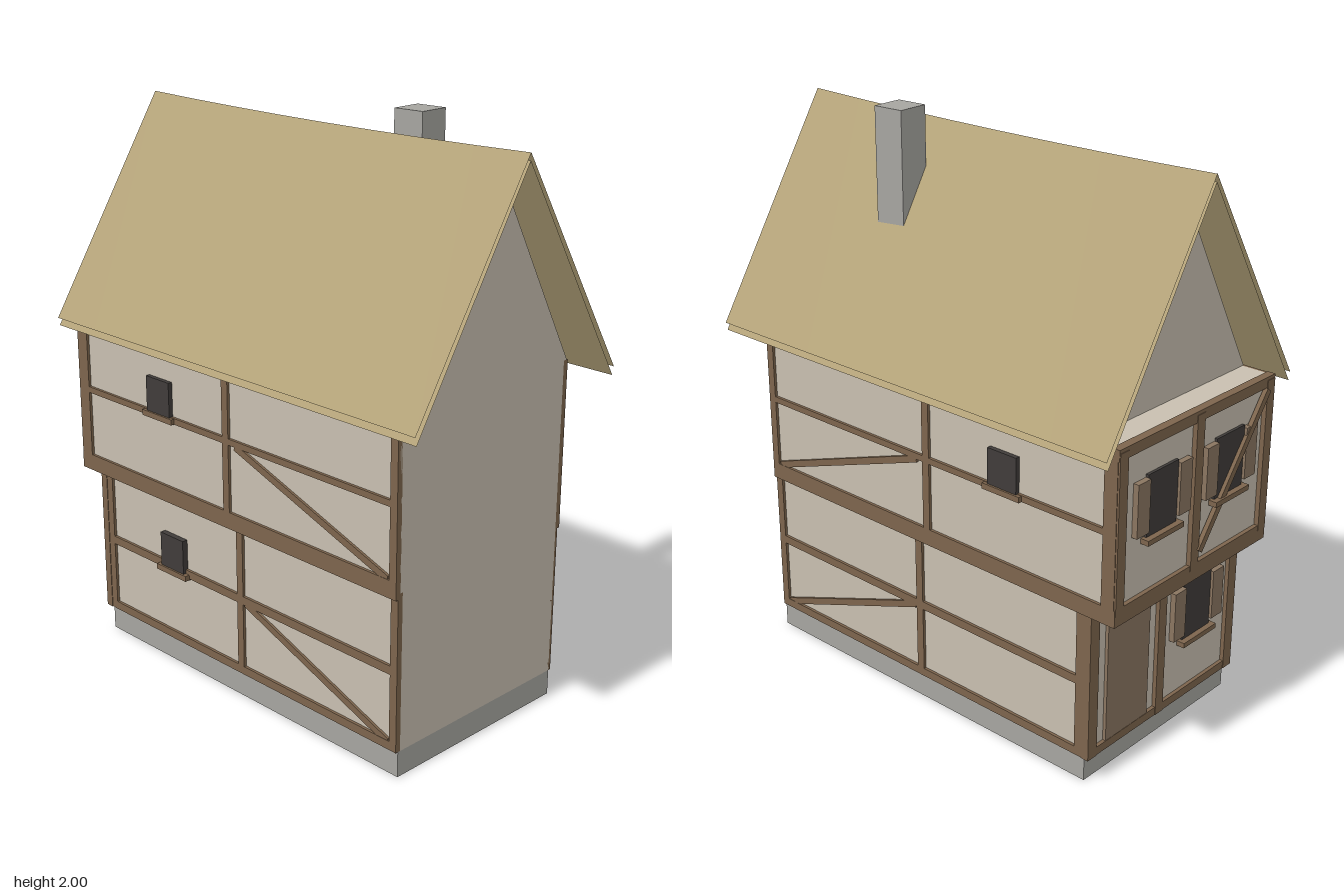
import * as THREE from 'three';

const mat = (color) => new THREE.MeshStandardMaterial({ color, flatShading: true });

export function createModel() {
  const house = new THREE.Group();
  const plaster = mat(0xc8bfb0), timber = mat(0x7d654d), stone = mat(0xa6a5a0);
  const dark = mat(0x403c3a), wood = mat(0x8a7560), thatch = mat(0xb5a47a);
  plaster.side = thatch.side = THREE.DoubleSide;

  // Box given by its lower and upper limits on each axis
  const box = (name, m, x0, x1, y0, y1, z0, z1) => {
    const g = new THREE.BoxGeometry(Math.abs(x1 - x0), y1 - y0, Math.abs(z1 - z0));
    const mesh = new THREE.Mesh(g, m);
    mesh.name = name;
    mesh.position.set((x0 + x1) / 2, (y0 + y1) / 2, (z0 + z1) / 2);
    house.add(mesh);
    return mesh;
  };
  // Sloping timber between two points on a wall, t thick and w wide
  const brace = (name, a, b, w, t, alongZ) => {
    const d = new THREE.Vector3().subVectors(b, a);
    const g = alongZ ? new THREE.BoxGeometry(t, w, d.length()) : new THREE.BoxGeometry(d.length(), w, t);
    const mesh = new THREE.Mesh(g, timber);
    mesh.name = name;
    mesh.position.addVectors(a, b).multiplyScalar(0.5);
    if (alongZ) mesh.rotation.x = -Math.atan2(d.y, d.z);
    else mesh.rotation.z = Math.atan2(d.y, d.x);
    house.add(mesh);
  };

  // Footing and the two storeys, the upper one jettied at the back
  box('footing', stone, -0.38, 0.38, 0, 0.09, -0.72, 0.73);
  box('lowerWalls', plaster, -0.38, 0.38, 0.09, 0.64, -0.73, 0.73);
  box('upperWalls', plaster, -0.39, 0.39, 0.64, 1.21, -0.825, 0.73);
  box('jettyBeam', timber, -0.4, 0.4, 0.62, 0.68, -0.84, -0.7);

  // Gable triangles
  for (const [name, z] of [['frontGable', 0.73], ['backGable', -0.72]]) {
    const tri = new THREE.Shape([
      new THREE.Vector2(-0.395, 1.21), new THREE.Vector2(0.395, 1.21), new THREE.Vector2(0, 1.92)]);
    const gable = new THREE.Mesh(new THREE.ShapeGeometry(tri), plaster);
    gable.name = name;
    gable.position.z = z;
    house.add(gable);
  }

  // Timber framing on both long sides
  for (const s of [1, -1]) {
    const side = s > 0 ? 'left' : 'right';
    const lower = (part, y0, y1, z0, z1) => box(side + part, timber, s * 0.37, s * 0.39, y0, y1, z0, z1);
    const upper = (part, y0, y1, z0, z1) => box(side + part, timber, s * 0.38, s * 0.4, y0, y1, z0, z1);
    lower('Sill', 0.09, 0.12, -0.735, 0.73);
    lower('LowerRail', 0.355, 0.385, -0.735, 0.73);
    lower('LowerFrontPost', 0.09, 0.64, 0.7, 0.73);
    lower('LowerMiddlePost', 0.09, 0.64, -0.01, 0.02);
    lower('LowerBackPost', 0.09, 0.64, -0.735, -0.685);
    upper('FloorBeam', 0.62, 0.68, -0.83, 0.73);
    upper('UpperRail', 0.92, 0.942, -0.83, 0.73);
    upper('WallPlate', 1.18, 1.21, -0.83, 0.73);
    upper('UpperFrontPost', 0.64, 1.21, 0.7, 0.73);
    upper('UpperMiddlePost', 0.64, 1.21, -0.06, -0.03);
    upper('UpperBackPost', 0.64, 1.21, -0.835, -0.785);
    brace(side + 'LowerBrace', new THREE.Vector3(s * 0.38, 0.36, 0.03),
      new THREE.Vector3(s * 0.38, 0.115, 0.69), 0.024, 0.018, true);
    brace(side + 'UpperBrace', new THREE.Vector3(s * 0.39, 0.92, 0),
      new THREE.Vector3(s * 0.39, 0.68, 0.69), 0.024, 0.018, true);

    // Small side windows
    const sideWindow = (x, y, z) => {
      box(side + 'Window', dark, s * (x - 0.02), s * (x + 0.006), y, y + 0.125, z - 0.06, z + 0.06);
      box(side + 'WindowSill', timber, s * (x - 0.02), s * (x + 0.013), y - 0.02, y, z - 0.078, z + 0.078);
    };
    sideWindow(0.4, 0.94, -0.385);
    if (s < 0) sideWindow(0.395, 0.37, -0.34);
  }

  // Timber framing on the back
  for (const x of [-0.37, 0.02, 0.37]) {
    const w = x === 0.02 ? 0.02 : 0.022;
    box('backLowerPost', timber, x - w, x + w, 0.09, 0.62, -0.745, -0.715);
  }
  for (const x of [-0.378, 0, 0.378])
    box('backUpperPost', timber, x - 0.02, x + 0.02, 0.66, 1.2, -0.842, -0.81);
  box('backSill', timber, -0.39, 0.39, 0.09, 0.12, -0.743, -0.715);
  box('backLowerBeam', timber, -0.39, 0.39, 0.59, 0.63, -0.743, -0.715);
  box('backUpperBeam', timber, -0.4, 0.4, 1.175, 1.212, -0.84, -0.81);
  brace('backBrace', new THREE.Vector3(-0.36, 1.17, -0.84),
    new THREE.Vector3(-0.02, 0.72, -0.84), 0.024, 0.016, false);

  // Back door
  box('door', wood, 0.085, 0.3, 0.11, 0.56, -0.742, -0.72);

  // Shuttered back windows: pane, sill and a pair of shutters
  for (const [x, y, z] of [[0.175, 0.87, -0.825], [-0.175, 0.87, -0.825], [-0.175, 0.315, -0.73]]) {
    box('backWindow', dark, x - 0.075, x + 0.075, y, y + 0.21, z - 0.01, z + 0.01);
    box('backWindowSill', timber, x - 0.09, x + 0.09, y - 0.018, y, z - 0.03, z + 0.01);
    for (const s of [-1, 1])
      box('shutter', wood, x + s * 0.075, x + s * 0.135, y + 0.02, y + 0.2, z - 0.02, z);
  }

  // Two thin roof layers on each slope, ridge sagging slightly in the middle
  for (const [layer, ridge, eave, out] of [['outer', 1.95, 1.2, 0.472], ['inner', 1.926, 1.172, 0.466]])
    for (const s of [1, -1]) {
      const g = new THREE.PlaneGeometry(1, 1, 1, 8);
      const p = g.attributes.position;
      for (let i = 0; i < p.count; i++) {
        const t = p.getX(i) + 0.5, v = p.getY(i);
        const sag = 0.012 * (1 - 4 * v * v);
        p.setXYZ(i, s * out * t, ridge + (eave - ridge) * t - sag * (1 - t), 0.005 - 1.71 * v * s);
      }
      g.computeVertexNormals();
      const roof = new THREE.Mesh(g, thatch);
      roof.name = layer + (s > 0 ? 'LeftRoof' : 'RightRoof');
      house.add(roof);
    }

  // Chimney, slightly twisted
  box('chimney', stone, 0.092, 0.207, 1.45, 2, 0.235, 0.35).rotation.y = 0.05;

  return house;
}
